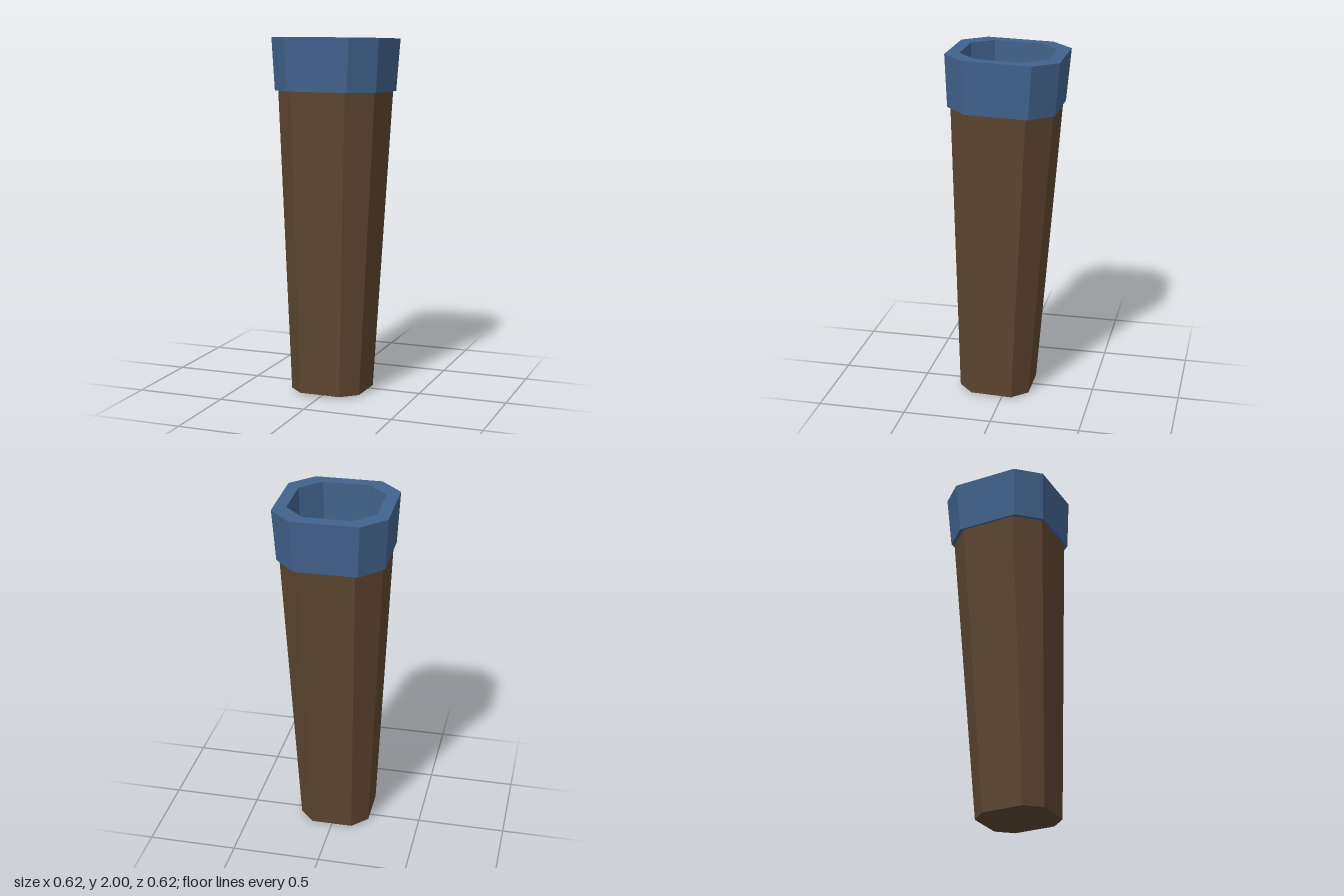
import * as THREE from 'three';

const TILT = 0.031; // the whole tube leans back slightly

// Chamfered-square ring: half width w, half flat f, centre height y and depth z
function ring(w, f, y, z) {
  return [[-f, w], [f, w], [w, f], [w, -f], [f, -w], [-f, -w], [-w, -f], [-w, f]]
    .map(([px, pz]) => new THREE.Vector3(px, y + TILT * pz, z + pz));
}

// Skin a list of rings, optionally closing the first or last with a flat cap
function loft(name, material, rings, { capStart = false, capEnd = false } = {}) {
  const points = [];
  for (let r = 0; r < rings.length - 1; r++) {
    const lower = rings[r], upper = rings[r + 1];
    for (let i = 0; i < 8; i++) {
      const j = (i + 1) % 8;
      points.push(lower[i], lower[j], upper[j], lower[i], upper[j], upper[i]);
    }
  }
  const first = rings[0], last = rings[rings.length - 1];
  for (let i = 1; i < 7; i++) {
    if (capStart) points.push(first[0], first[i + 1], first[i]);
    if (capEnd) points.push(last[0], last[i], last[i + 1]);
  }
  const geometry = new THREE.BufferGeometry().setFromPoints(points);
  geometry.computeVertexNormals();
  const mesh = new THREE.Mesh(geometry, material);
  mesh.name = name;
  return mesh;
}

export function createModel() {
  const brown = new THREE.MeshStandardMaterial({ color: 0x5c4530 });
  brown.name = 'brown';
  const blue = new THREE.MeshStandardMaterial({ color: 0x41628c });
  blue.name = 'blue';

  const outerBottom = ring(0.203, 0.117, 0.0065, 0.0625);
  const outerTop = ring(0.283, 0.157, 1.697, 0.008);
  const innerTop = ring(0.234, 0.124, 1.697, 0.008);
  const floor = ring(0.196, 0.072, 0.1, 0.059);

  const group = new THREE.Group();
  group.name = 'taperedTube';
  group.add(
    // Tapered shaft with closed base
    loft('shaftOuter', brown, [outerBottom, outerTop], { capStart: true }),
    // Hollow inside with floor
    loft('shaftInner', brown, [innerTop, floor], { capEnd: true }),
    // Collar: underside lip, outside, rim and inside
    loft('collar', blue, [
      outerTop,
      ring(0.296, 0.173, 1.697, 0.009),
      ring(0.3125, 0.187, 1.99, 0),
      ring(0.243, 0.132, 1.99, 0),
      innerTop,
    ]),
  );
  return group;
}
